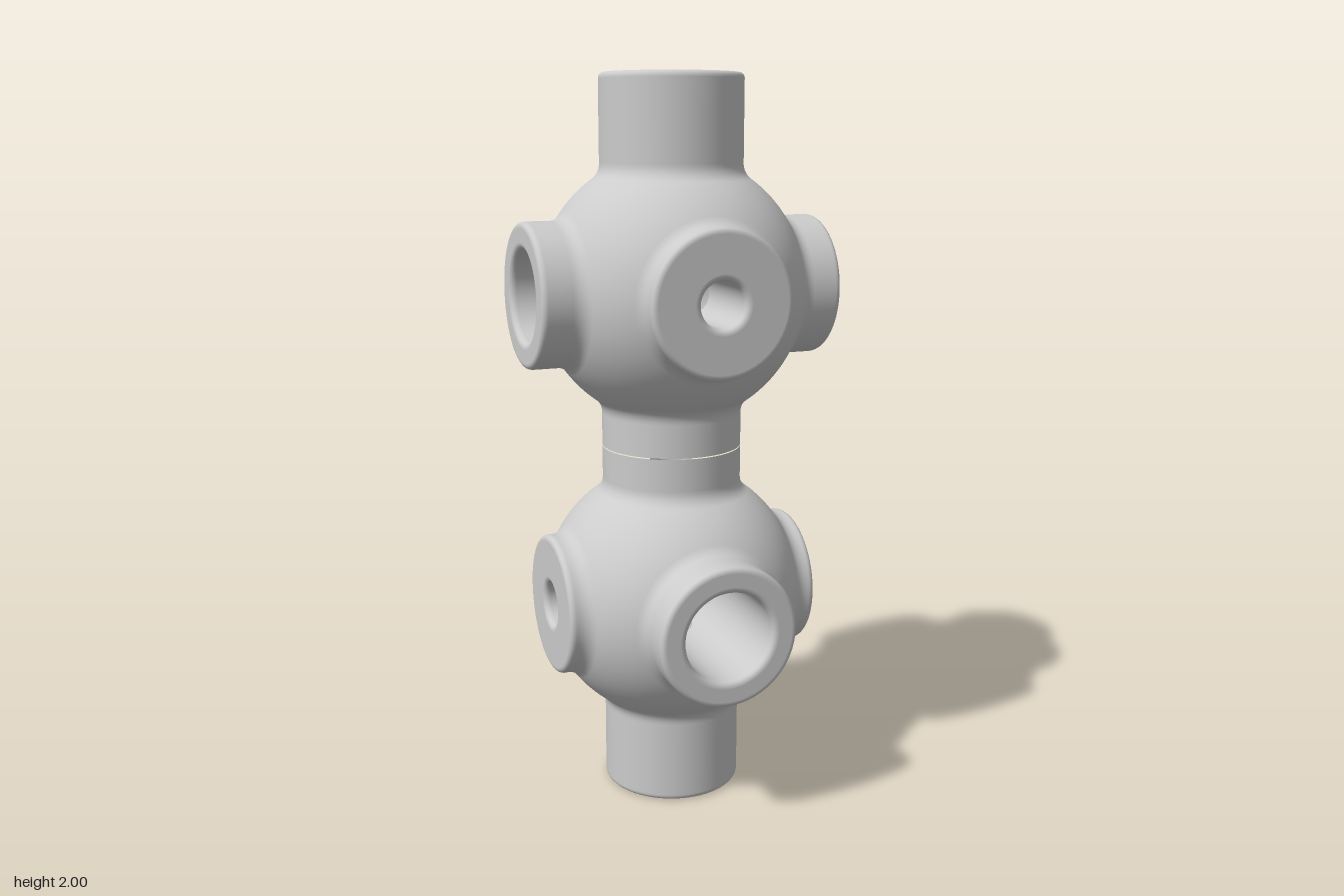
import * as THREE from 'three';

const SEG = 64;            // sides around every port (multiple of 8)
const HUB = 0.365;         // sphere radius
const PORT = 0.193;        // outer radius of ports, shafts and neck
const BIG = 0.122, SMALL = 0.06; // bore radii
const FILLET = 0.05, EDGE = 0.014, MOUTH = 0.016;
const BORE_MID = 0.1;      // half length of the wide bore's junction section
const LOW_Y = 0.573, HIGH_Y = 1.43;

const material = new THREE.MeshStandardMaterial({ color: 0xcccccc });

function arc(cx, cy, r, from, to, n) {
  const pts = [];
  for (let i = 0; i <= n; i++) {
    const a = from + (to - from) * i / n;
    pts.push(new THREE.Vector2(cx + r * Math.cos(a), cy + r * Math.sin(a)));
  }
  return pts;
}

// Concave blend from the sphere up to the port wall
const FC = new THREE.Vector2(PORT + FILLET, Math.sqrt((HUB + FILLET) ** 2 - (PORT + FILLET) ** 2));
const blend = () => arc(FC.x, FC.y, FILLET, Math.PI + FC.angle(), Math.PI, 8);
const RING = FC.x / FC.y;  // tangent of the angle where blend meets sphere

// Trim the last ring of a narrow bore to the curved wall of the wide bore (along x)
function trimBore(geo, perRing) {
  const p = geo.attributes.position;
  for (let i = perRing - 1; i < p.count; i += perRing) {
    p.setY(i, Math.sqrt(BIG ** 2 - p.getZ(i) ** 2));
  }
  return geo;
}

// Blend, outer wall, rounded end face and bore in one turned profile along +y
function portGeometry(length, bore) {
  const V = (x, y) => new THREE.Vector2(x, y), d = 0.002;
  const pts = [
    ...blend(),
    V(PORT, FC.y + d), V(PORT, length - EDGE - d),
    ...arc(PORT - EDGE, length - EDGE, EDGE, 0, Math.PI / 2, 5),
    V(PORT - EDGE - d, length), V(bore + MOUTH + d, length),
    ...arc(bore + MOUTH, length - MOUTH, MOUTH, Math.PI / 2, Math.PI, 5),
    V(bore, length - MOUTH - d), V(bore, BORE_MID)
  ];
  const geo = new THREE.LatheGeometry(pts, SEG);
  return bore === SMALL ? trimBore(geo, pts.length) : geo;
}

// Grid from a round opening to a square outline; place(sin, cos, t) gives position and normal
function ringToSquare(place, inward) {
  const rows = 8, pos = [], nor = [], idx = [];
  for (let j = 0; j <= rows; j++) {
    for (let i = 0; i <= SEG; i++) {
      const a = i / SEG * Math.PI * 2;
      const [p, n] = place(Math.sin(a), Math.cos(a), j / rows);
      pos.push(...p.toArray());
      nor.push(...n.toArray());
      if (j < rows && i < SEG) {
        const k = j * (SEG + 1) + i, u = k + SEG + 1;
        if (inward) idx.push(k, k + 1, u, u, k + 1, u + 1);
        else idx.push(k, u, k + 1, u, u + 1, k + 1);
      }
    }
  }
  const geo = new THREE.BufferGeometry();
  geo.setAttribute('position', new THREE.Float32BufferAttribute(pos, 3));
  geo.setAttribute('normal', new THREE.Float32BufferAttribute(nor, 3));
  geo.setIndex(idx);
  return geo;
}

// One sixth of the sphere, open where a port sits
const spherePatch = () => ringToSquare((s, c, t) => {
  const k = THREE.MathUtils.lerp(RING, 1 / Math.max(Math.abs(s), Math.abs(c)), t);
  const n = new THREE.Vector3(s * k, 1, c * k).normalize();
  return [n.clone().multiplyScalar(HUB), n];
}, false);

// One quarter of the wide bore's wall, open where a narrow bore enters
const borePatch = () => ringToSquare((s, c, t) => {
  const m = Math.max(Math.abs(s), Math.abs(c));
  const x = THREE.MathUtils.lerp(SMALL * s, BORE_MID * s / m, t);
  const th = THREE.MathUtils.lerp(Math.asin(SMALL * c / BIG), Math.PI / 4 * c / m, t);
  const n = new THREE.Vector3(0, -Math.cos(th), -Math.sin(th));
  return [new THREE.Vector3(x, -n.y * BIG, -n.z * BIG), n];
}, true);

function add(parent, name, geo, rx = 0, rz = 0) {
  const mesh = new THREE.Mesh(geo, material);
  mesh.name = name;
  mesh.rotation.set(rx, 0, rz);
  parent.add(mesh);
}

// Hub with its wide bore along x, shaft up (+y) and neck down (-y)
function makeHub(name) {
  const hub = new THREE.Group();
  hub.name = name;
  const shell = spherePatch(), wall = borePatch();
  const widePort = portGeometry(0.42, BIG);
  const narrowPort = portGeometry(0.362, SMALL);
  const Q = Math.PI / 2;

  for (let k = 0; k < 4; k++) {
    add(hub, 'hubShell', shell, k * Q);
    add(hub, 'boreJunction', wall, k * Q);
  }
  for (const side of [-1, 1]) {
    add(hub, 'hubShell', shell, 0, side * Q);
    add(hub, 'widePort', widePort, 0, side * Q);
    add(hub, 'narrowPort', narrowPort, side * Q);
  }
  add(hub, 'endShaft', portGeometry(2 - HIGH_Y, SMALL));

  // Half of the neck that joins the two hubs, with its bore
  const half = (HIGH_Y - LOW_Y) / 2;
  const neck = [...blend(), new THREE.Vector2(PORT, FC.y + 0.002), new THREE.Vector2(PORT, half)];
  const bore = [new THREE.Vector2(SMALL, half), new THREE.Vector2(SMALL, BORE_MID)];
  add(hub, 'neck', new THREE.LatheGeometry(neck, SEG), Math.PI);
  add(hub, 'neckBore', trimBore(new THREE.LatheGeometry(bore, SEG), 2), Math.PI);
  return hub;
}

export function createModel() {
  const model = new THREE.Group();
  model.name = 'doubleHubConnector';

  const upper = makeHub('upperHub');
  upper.position.y = HIGH_Y;

  // Lower hub is upside down and turned a quarter
  const lower = makeHub('lowerHub');
  lower.position.y = LOW_Y - 0.003;
  lower.rotation.set(Math.PI, Math.PI / 2, 0);

  model.add(upper, lower);
  return model;
}
